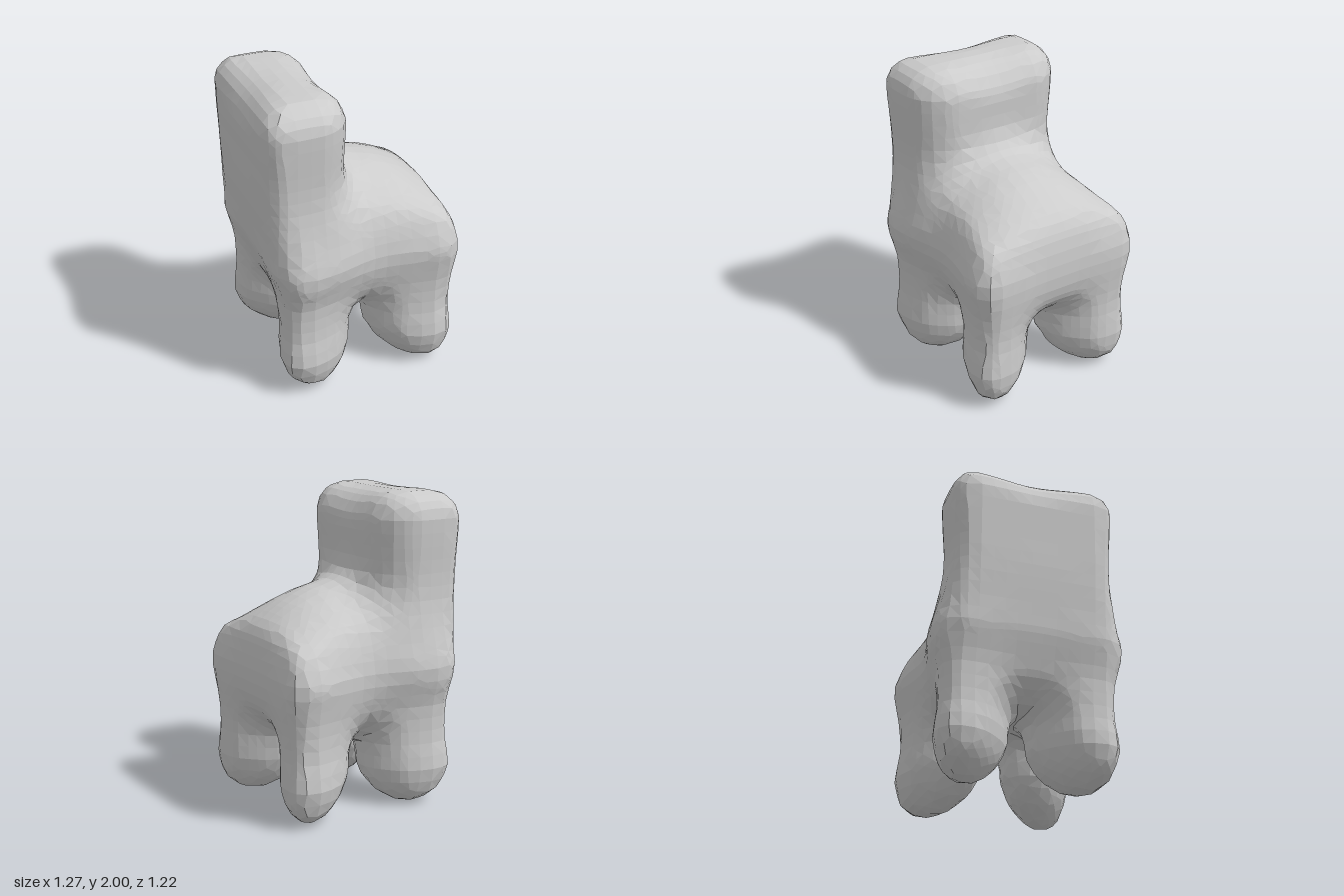
import * as THREE from 'three';

// ---- small field helpers (negative inside, positive outside) ----
const smoothUnion = (a, b, k) => {
  const h = Math.max(k - Math.abs(a - b), 0) / k;
  return Math.min(a, b) - h * h * k / 4;
};
const roundIntersect = (a, b, r) =>
  Math.min(-r, Math.max(a, b)) + Math.hypot(Math.max(a + r, 0), Math.max(b + r, 0));
const roundRect = (x, z, hx, hz, r) => roundIntersect(Math.abs(x) - hx, Math.abs(z) - hz, r);
const bump = (t, centre, width) => Math.exp(-(((t - centre) / width) ** 2));

// Upright slab, crisper at the rear corners, leaning in towards its foot
function backrest(x, y, z) {
  const lean = 0.08 * (1 - THREE.MathUtils.smoothstep(y, 0.75, 1.5));
  const waist = 0.02 * bump(y, 1.45, 0.25);
  const cx = x - lean + 0.355;
  const plan = roundRect(cx, z, 0.285 - waist / 2, 0.535 - waist, cx < 0 ? 0.14 : 0.26);
  const rim = 0.18 + 0.08 * bump(z, 0, 0.25);
  return roundIntersect(roundIntersect(plan, y - 2, rim), 0.8 - y, 0.15);
}

// Outer walls shared by seat and legs: swelling at seat and feet, pinched between the legs
function walls(x, y, z) {
  const pinch = 1 - Math.min(1, ((x - 0.04) / 0.4) ** 2);
  const right = 0.605 + 0.03 * bump(y, 0.87, 0.22) + 0.015 * bump(y, 0.25, 0.12);
  const left = 0.535 + 0.035 * bump(y, 0.25, 0.12);
  const depth = 0.55 + 0.04 * bump(y, 0.88, 0.17) + 0.03 * bump(y, 0.25, 0.12) - 0.05 * pinch;
  return roundRect(x - (right - left) / 2, z, (right + left) / 2, depth, 0.12);
}

// Four stubby columns, each longer along its outward diagonal, ending in tapered feet
function legs(x, y, z) {
  let d = Infinity;
  for (const [cx, side, foot] of [[-0.3, -1, -0.29], [0.365, 1, 0.42]]) {
    const drop = Math.max(0, 0.3 - y) / 0.3;
    const X = side * (x - cx - (foot - cx) * drop);
    const Z = Math.abs(z) - 0.34 - 0.035 * drop;
    const along = Math.abs(X + Z) * Math.SQRT1_2 / 0.315;
    const across = Math.abs(X - Z) * Math.SQRT1_2 / 0.2;
    const plan = (along ** 2.3 + across ** 2.3) ** (1 / 2.3);
    const r = (plan ** 1.8 + drop ** 1.8) ** (1 / 1.8);
    d = Math.min(d, Math.max((r - 1) * 0.23, y - 0.9));
  }
  return d;
}

// Domed cushion on legs, with wide arches flaring outwards between them
function base(x, y, z) {
  const side = walls(x, y, z);
  const slab = roundIntersect(side, 0.5 - y, 0.29);
  const fall = Math.max(0, 1 - (Math.max(x, 0) / 0.66) ** 2);
  const dome = 1.085 + 0.33 * fall * Math.max(0, 1 - (z / 0.55) ** 2);
  const body = roundIntersect(smoothUnion(slab, legs(x, y, z), 0.17), side, 0.05);
  return roundIntersect(body, (y - dome) * 0.8, 0.09);
}

const field = (x, y, z) => smoothUnion(base(x, y, z), backrest(x, y, z), 0.2);

function gradient(p) {
  const e = 0.004;
  return new THREE.Vector3(
    field(p.x + e, p.y, p.z) - field(p.x - e, p.y, p.z),
    field(p.x, p.y + e, p.z) - field(p.x, p.y - e, p.z),
    field(p.x, p.y, p.z + e) - field(p.x, p.y, p.z - e)
  ).divideScalar(2 * e);
}

// ---- coarse skin over the field: one vertex per crossed cell, one quad per crossed edge ----
const STEP = 1 / 12, ORIGIN = [-0.75, -0.125, -0.75], COUNT = [18, 27, 18];
const lattice = (c) => c.map((v, a) => ORIGIN[a] + v * STEP);
const value = (c) => field(...lattice(c));

function cellVertex(cell) {
  const sum = new THREE.Vector3();
  let hits = 0;
  for (let axis = 0; axis < 3; axis++) {
    for (let k = 0; k < 4; k++) {
      const a = [...cell];
      a[(axis + 1) % 3] += k & 1;
      a[(axis + 2) % 3] += k >> 1;
      const b = [...a];
      b[axis] += 1;
      const va = value(a), vb = value(b);
      if ((va < 0) === (vb < 0)) continue;
      sum.add(new THREE.Vector3(...lattice(a)).lerp(new THREE.Vector3(...lattice(b)), va / (va - vb)));
      hits++;
    }
  }
  const p = sum.divideScalar(hits);
  // Settle the vertex onto the surface
  for (let i = 0; i < 3; i++) {
    const g = gradient(p);
    const move = -field(p.x, p.y, p.z) / Math.max(g.lengthSq(), 0.2);
    p.addScaledVector(g, THREE.MathUtils.clamp(move, -0.03, 0.03));
  }
  return p;
}

function skinQuads() {
  const cache = new Map(), quads = [];
  const vertex = (c) => {
    const key = c.join();
    if (!cache.has(key)) cache.set(key, cellVertex(c));
    return cache.get(key);
  };
  for (let i = 1; i < COUNT[0]; i++)
    for (let j = 0; j < COUNT[1]; j++)
      for (let k = 1; k < COUNT[2]; k++)
        for (let axis = 0; axis < 3; axis++) {
          const a = [i, j, k], b = [i, j, k];
          b[axis] += 1;
          const inside = value(a) < 0;
          if (inside === value(b) < 0) continue;
          const u = (axis + 1) % 3, v = (axis + 2) % 3;
          const quad = [[-1, -1], [0, -1], [0, 0], [-1, 0]].map(([du, dv]) => {
            const c = [...a];
            c[u] += du;
            c[v] += dv;
            return vertex(c);
          });
          quads.push(inside ? quad : quad.reverse());
        }
  return quads;
}

export function createModel() {
  const group = new THREE.Group();
  group.name = 'chair';
  const material = new THREE.MeshStandardMaterial({ color: 0xcccccc, flatShading: true });

  // Share the continuous skin out among the named parts
  const parts = { backrest: [], seat: [], legs: [] };
  for (const [a, b, c, d] of skinQuads()) {
    const m = a.clone().add(b).add(c).add(d).divideScalar(4);
    const name = m.y < 0.55 ? 'legs' : backrest(m.x, m.y, m.z) < base(m.x, m.y, m.z) ? 'backrest' : 'seat';
    const tris = a.distanceTo(c) < b.distanceTo(d) ? [a, b, c, a, c, d] : [a, b, d, b, c, d];
    parts[name].push(...tris);
  }
  for (const [name, points] of Object.entries(parts)) {
    const geometry = new THREE.BufferGeometry().setFromPoints(points);
    geometry.computeVertexNormals();
    const mesh = new THREE.Mesh(geometry, material);
    mesh.name = name;
    group.add(mesh);
  }
  return group;
}
